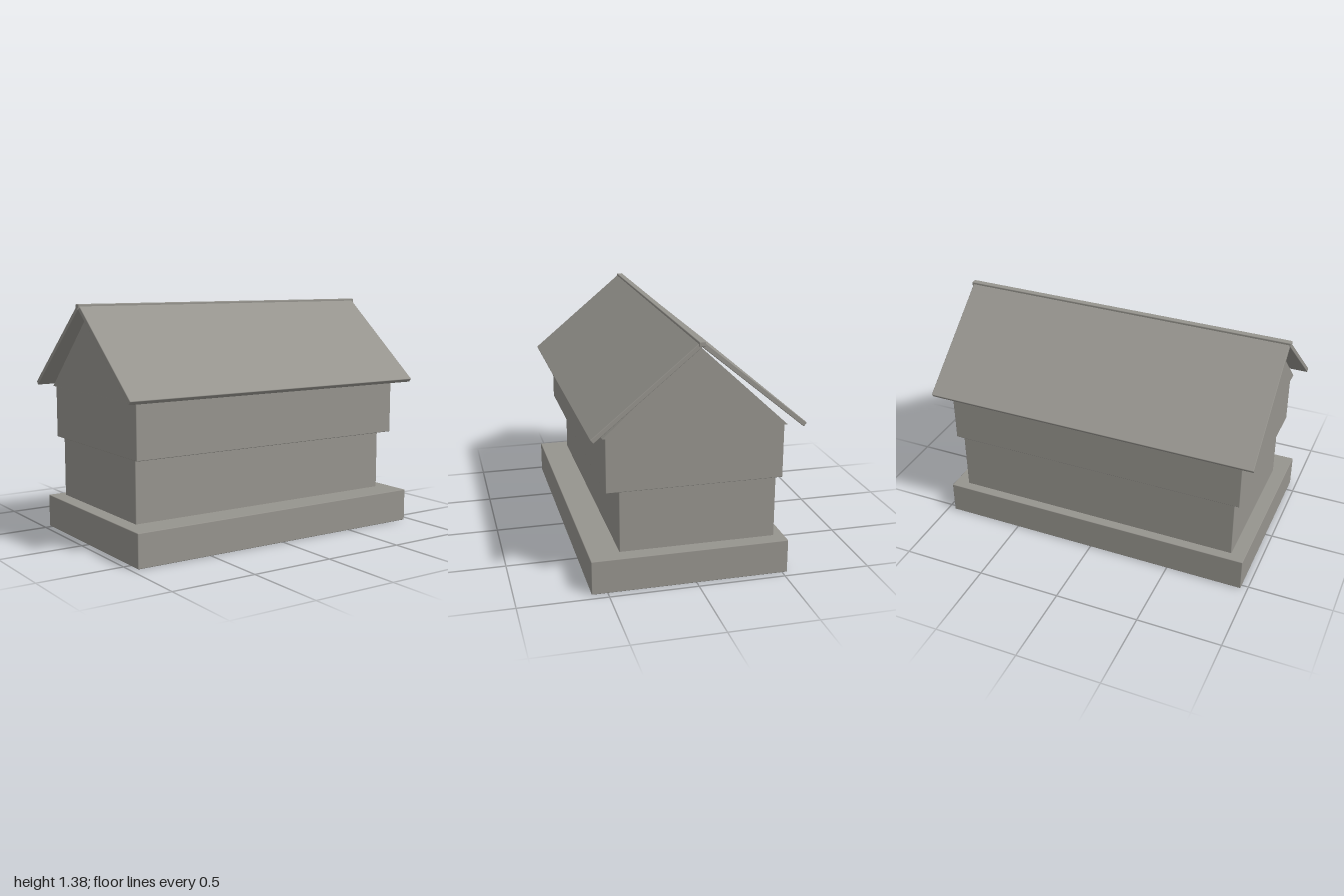
import * as THREE from 'three';
import { RoundedBoxGeometry } from 'three/addons/geometries/RoundedBoxGeometry.js';

export function createModel() {
  const model = new THREE.Group();
  model.name = 'house';
  const stone = new THREE.MeshStandardMaterial({ color: 0x96948e });
  stone.name = 'stone grey';

  // Box with slightly eased edges
  function block(name, w, h, d, x, y, z) {
    const mesh = new THREE.Mesh(new RoundedBoxGeometry(w, h, d, 1, 0.004), stone);
    mesh.name = name;
    mesh.position.set(x, y, z);
    model.add(mesh);
    return mesh;
  }

  // Plinth and the two storeys
  block('plinth', 1.916, 0.195, 1.118, -0.002, 0.0975, 0.03);
  block('lowerStorey', 1.746, 0.372, 0.888, -0.002, 0.375, -0.028);
  block('upperStorey', 1.814, 0.31, 0.992, -0.002, 0.712, -0.002);

  // Thin triangular gable at each end
  const triangle = new THREE.Shape([
    new THREE.Vector2(-0.51, 0.867),
    new THREE.Vector2(0.51, 0.867),
    new THREE.Vector2(0, 1.34),
  ]);
  const gableGeometry = new THREE.ExtrudeGeometry(triangle, { depth: 0.05, bevelEnabled: false });
  gableGeometry.translate(0, 0, -0.025).rotateY(Math.PI / 2);
  for (const side of [1, -1]) {
    const gable = new THREE.Mesh(gableGeometry, stone);
    gable.name = side > 0 ? 'leftGable' : 'rightGable';
    gable.position.x = side * 0.895 - 0.002;
    model.add(gable);
  }

  // Sloping roof panels, open beneath the eaves
  const pitch = THREE.MathUtils.degToRad(39.5);
  const length = 0.742, thickness = 0.027;
  for (const side of [1, -1]) {
    const z = 0.286 + Math.sin(pitch) * thickness / 2;
    const y = 1.108 + Math.cos(pitch) * thickness / 2;
    const panel = block(side > 0 ? 'frontRoof' : 'backRoof', 1.984, thickness, length, -0.002, y, side * z - 0.002);
    panel.rotation.x = side * pitch;
  }

  // Ridge cap
  block('ridgeCap', 2, 0.025, 0.036, 0, 1.3625, 0);

  return model;
}
